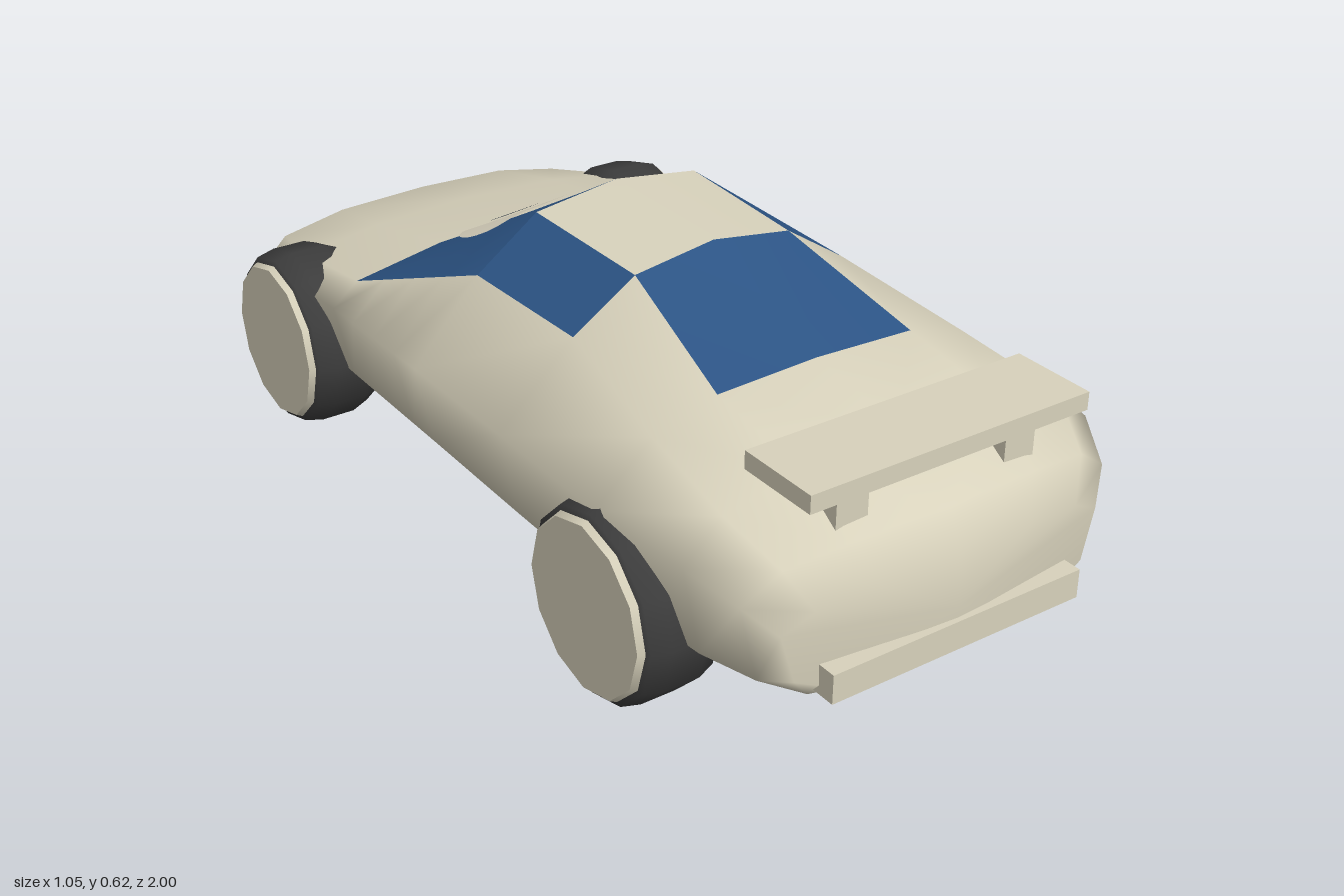
import * as THREE from 'three';

const material = (name, color) => Object.assign(new THREE.MeshStandardMaterial({ color }), { name });

// Body stations: z, half width, height of widest point, window base x/y, roof edge x/y, centre top y, floor y, bow
const windshieldFoot = [-0.36, 0.445, 0.335, 0.39, 0.38, 0.2, 0.415, 0.425, 0.12, 0];
const windshieldTop = [-0.02, 0.45, 0.35, 0.31, 0.505, 0.18, 0.6, 0.625, 0.12, 0];
const mix = (a, b, t) => a.map((v, i) => THREE.MathUtils.lerp(v, b[i], t));
const stations = [
  [-0.935, 0.31, 0.19, 0.26, 0.215, 0.14, 0.228, 0.235, 0.12, -0.035],
  [-0.8, 0.39, 0.25, 0.34, 0.3, 0.2, 0.328, 0.335, 0.12, 0],
  [-0.6, 0.43, 0.3, 0.385, 0.345, 0.22, 0.37, 0.38, 0.12, 0],
  ...[0, 0.25, 0.5, 0.75, 1].map((t) => mix(windshieldFoot, windshieldTop, t)),
  [0.29, 0.455, 0.36, 0.3, 0.505, 0.17, 0.59, 0.615, 0.12, 0],
  [0.59, 0.455, 0.36, 0.34, 0.46, 0.21, 0.5, 0.508, 0.12, 0],
  [0.81, 0.435, 0.36, 0.36, 0.43, 0.21, 0.465, 0.473, 0.12, 0],
  [0.9, 0.39, 0.32, 0.32, 0.37, 0.19, 0.388, 0.392, 0.12, 0.04],
  [0.94, 0.34, 0.27, 0.28, 0.3, 0.16, 0.31, 0.315, 0.14, 0.03],
];
const WINDSHIELD = 3, ROOF = 7, REAR_WINDOW = 8, SIDES = 12;

function stationPoints([z, w, wy, bx, by, rx, ry, ty, floor, bow]) {
  const half = [[0, floor], [w * 0.68, floor], [w * 0.92, floor + (wy - floor) * 0.28], [w, wy], [bx, by], [rx, ry], [0, ty]];
  const loop = [...half, ...half.slice(1, 6).reverse().map(([x, y]) => [-x, y])];
  return loop.map(([x, y]) => [x, y, z + bow * (1 - (x / w) ** 2)]);
}

// Height of the windshield at x, z
function windshieldHeight(x, z) {
  const s = mix(windshieldFoot, windshieldTop, (z - windshieldFoot[0]) / (windshieldTop[0] - windshieldFoot[0]));
  const ax = Math.abs(x);
  return ax < s[5]
    ? THREE.MathUtils.lerp(s[7], s[6], ax / s[5])
    : THREE.MathUtils.lerp(s[6], s[4], (ax - s[5]) / (s[3] - s[5]));
}

export function createModel() {
  const paint = material('cream paint', 0xd8d2bc);
  const glass = material('blue glass', 0x2c5485);
  const rubber = material('tyre rubber', 0x3c3c3c);
  const eyeWhite = material('eye white', 0xe6dfca);
  const ink = material('dark ink', 0x182536);

  const model = new THREE.Group();
  model.name = 'car';
  const car = new THREE.Group();
  car.name = 'carBody';
  car.rotation.y = 0.053;
  model.add(car);

  const add = (name, geometry, mat, x = 0, y = 0, z = 0, parent = car) => {
    const mesh = new THREE.Mesh(geometry, mat);
    mesh.name = name;
    mesh.position.set(x, y, z);
    parent.add(mesh);
    return mesh;
  };

  // Shell: sort the loft panels into parts
  const positions = stations.flatMap(stationPoints).flat();
  const panels = { shell: [], underside: [], roof: [], windshield: [], sideWindows: [], rearWindow: [] };
  const panelName = (i, j) => {
    const centre = j === 5 || j === 6, flank = j === 4 || j === 7;
    if (j === 0 || j === 11) return 'underside';
    if (i >= WINDSHIELD && i < ROOF && (centre || flank)) return 'windshield';
    if (i === ROOF && centre) return 'roof';
    if (i === ROOF && flank) return 'sideWindows';
    if (i === REAR_WINDOW && centre) return 'rearWindow';
    return 'shell';
  };
  for (let i = 0; i < stations.length - 1; i++) {
    for (let j = 0; j < SIDES; j++) {
      const k = (j + 1) % SIDES;
      const a = i * SIDES + j, b = i * SIDES + k, c = b + SIDES, d = a + SIDES;
      panels[panelName(i, j)].push(...(j < 6 ? [a, b, c, a, c, d] : [a, b, d, b, c, d]));
    }
  }
  // Nose and tail caps
  const noseCentre = positions.length / 3, last = (stations.length - 1) * SIDES;
  positions.push(0, 0.18, -0.975, 0, 0.22, 0.978);
  for (let j = 0; j < SIDES; j++) {
    const k = (j + 1) % SIDES;
    panels.shell.push(noseCentre, k, j, noseCentre + 1, last + j, last + k);
  }
  for (const [name, indices] of Object.entries(panels)) {
    const geometry = new THREE.BufferGeometry();
    geometry.setAttribute('position', new THREE.Float32BufferAttribute(positions, 3));
    geometry.setIndex(indices);
    geometry.computeVertexNormals();
    add(name, geometry.toNonIndexed(), /wind/i.test(name) ? glass : paint);
  }

  // Eyes laid onto the windshield
  const decal = (name, mat, x, z, rx, rz, lift) => {
    const geometry = new THREE.RingGeometry(0.001, 1, 28, 6).rotateX(-Math.PI / 2).scale(rx, 1, rz).translate(x, 0, z);
    const p = geometry.attributes.position;
    for (let i = 0; i < p.count; i++) p.setY(i, windshieldHeight(p.getX(i), p.getZ(i)) + lift);
    geometry.computeVertexNormals();
    add(name, geometry, mat);
  };
  for (const side of [-1, 1]) {
    const x = side * 0.128;
    decal('eye', eyeWhite, x, -0.187, 0.105, 0.118, 0.008);
    decal('pupil', ink, x - 0.002, -0.182, 0.048, 0.05, 0.012);
    decal('glint', eyeWhite, x + 0.012, -0.163, 0.012, 0.013, 0.016);
  }

  // Wheels
  const tyreProfile = [[0, 0.3], [0.14, 0.305], [0.172, 0.325], [0.185, 0.36], [0.185, 0.43], [0.176, 0.468], [0.16, 0.474]];
  const tyre = new THREE.LatheGeometry(tyreProfile.map(([r, y]) => new THREE.Vector2(r, y)), 12).rotateZ(-Math.PI / 2);
  const hub = new THREE.CylinderGeometry(0.16, 0.171, 0.022, 12).rotateZ(-Math.PI / 2);
  for (const side of [-1, 1]) {
    for (const [name, z] of [['frontWheel', -0.57], ['rearWheel', 0.598]]) {
      const wheel = new THREE.Group();
      wheel.name = name;
      wheel.position.set(0, 0.185, z);
      if (side < 0) wheel.rotation.y = Math.PI;
      add('tyre', tyre, rubber, 0, 0, 0, wheel);
      add('hub', hub, paint, 0.473, 0, 0, wheel);
      car.add(wheel);
    }
  }

  // Spoiler and its struts
  add('spoiler', new THREE.BoxGeometry(0.585, 0.034, 0.165), paint, 0, 0.493, 0.857);
  for (const side of [-1, 1]) {
    add('spoilerStrut', new THREE.BoxGeometry(0.065, 0.1, 0.04), paint, side * 0.178, 0.436, 0.885);
  }

  // Bumpers
  for (const side of [-1, 1]) {
    add(side < 0 ? 'frontBumper' : 'rearBumper', new THREE.BoxGeometry(0.535, 0.056, 0.055), paint, 0, 0.168, side * 0.958);
  }

  // Smile on the front bumper
  const smile = new THREE.Shape();
  smile.moveTo(-0.18, 0.188);
  smile.quadraticCurveTo(0, 0.128, 0.18, 0.188);
  smile.lineTo(0.182, 0.178);
  smile.quadraticCurveTo(0, 0.106, -0.182, 0.178);
  smile.closePath();
  add('smile', new THREE.ExtrudeGeometry(smile, { depth: 0.006, bevelEnabled: false, curveSegments: 16 }), ink, 0, 0, -0.99);

  return model;
}
